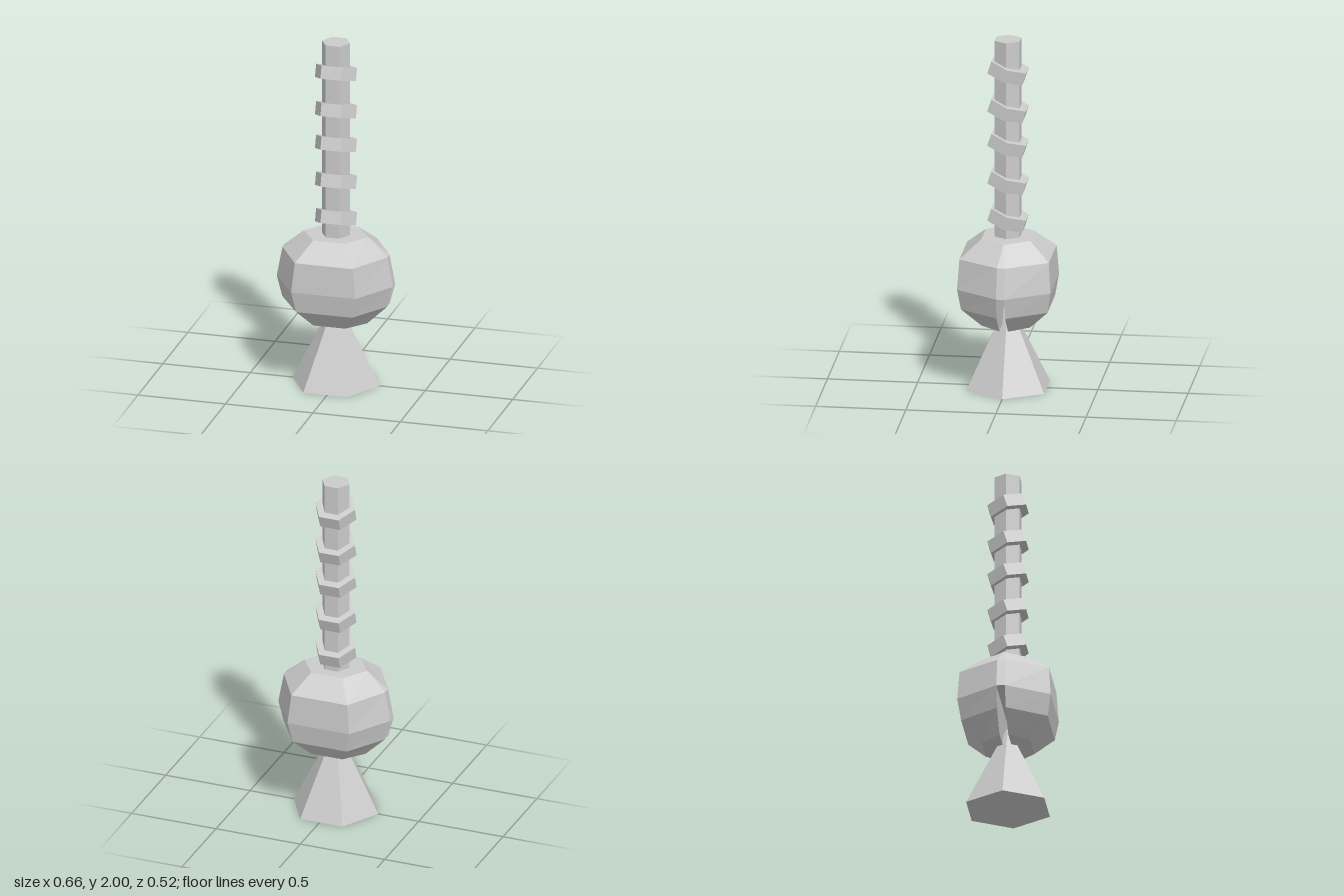
import * as THREE from 'three';

const material = new THREE.MeshStandardMaterial({ color: 0xcccccc, flatShading: true });

// Joins horizontal rings (bottom to top, anticlockwise from above) into a capped solid.
function loft(rings) {
  const pos = [];
  const tri = (a, b, c) => pos.push(...a, ...b, ...c);
  const n = rings[0].length;
  for (let r = 0; r < rings.length - 1; r++) {
    const a = rings[r], b = rings[r + 1];
    for (let i = 0; i < n; i++) {
      const j = (i + 1) % n;
      tri(a[i], a[j], b[j]);
      tri(a[i], b[j], b[i]);
    }
  }
  const low = rings[0], high = rings[rings.length - 1];
  for (let i = 1; i < n - 1; i++) {
    tri(low[0], low[i + 1], low[i]);
    tri(high[0], high[i], high[i + 1]);
  }
  const g = new THREE.BufferGeometry();
  g.setAttribute('position', new THREE.Float32BufferAttribute(pos, 3));
  g.computeVertexNormals();
  return g;
}

// Six-sided prism or cone with corners on the x axis.
function hexagon(rTop, rBottom, height) {
  return new THREE.CylinderGeometry(rTop, rBottom, height, 6, 1, false, Math.PI / 6);
}

export function createModel() {
  const model = new THREE.Group();
  const axis = new THREE.Group();
  axis.name = 'bellRattle';
  axis.position.x = -0.01;
  model.add(axis);

  const add = (name, geometry, y = 0) => {
    const mesh = new THREE.Mesh(geometry, material);
    mesh.name = name;
    mesh.position.y = y;
    axis.add(mesh);
    return mesh;
  };

  // Pointed foot reaching up into the bell
  add('foot', hexagon(0, 0.25, 0.5), 0.25);

  // Bell levels: height, side reach, half width of front face, front reach, half slot width
  const levels = [
    [0.37, 0.185, 0.092, 0.135, 0.024],
    [0.48, 0.3, 0.16, 0.24, 0.024],
    [0.6, 0.332, 0.183, 0.259, 0.024],
    [0.77, 0.3, 0.165, 0.248, 0.022],
    [0.87, 0.185, 0.092, 0.135, 0],
  ];
  const frontHalf = ([y, x, w, z, s]) => [[-x, y, s], [-w, y, z], [w, y, z], [x, y, s]];
  const backHalf = (level) => frontHalf(level).map(([x, y, z]) => [-x, y, -z]);
  const whole = (level) => [...frontHalf(level), ...backHalf(level)];

  // Closed upper bell, and two lower halves with the slot between them
  add('bellTop', loft(levels.slice(2).map(whole)));
  add('bellFrontHalf', loft(levels.slice(0, 3).map(frontHalf)));
  add('bellBackHalf', loft(levels.slice(0, 3).map(backHalf)));

  // Handle shaft
  add('handle', hexagon(0.08, 0.08, 1.15), 1.425);

  // Tilted grip rings
  for (const y of [0.97, 1.185, 1.402, 1.6, 1.82]) {
    add('gripRing', hexagon(0.117, 0.117, 0.073), y).rotation.x = -0.31;
  }

  return model;
}
